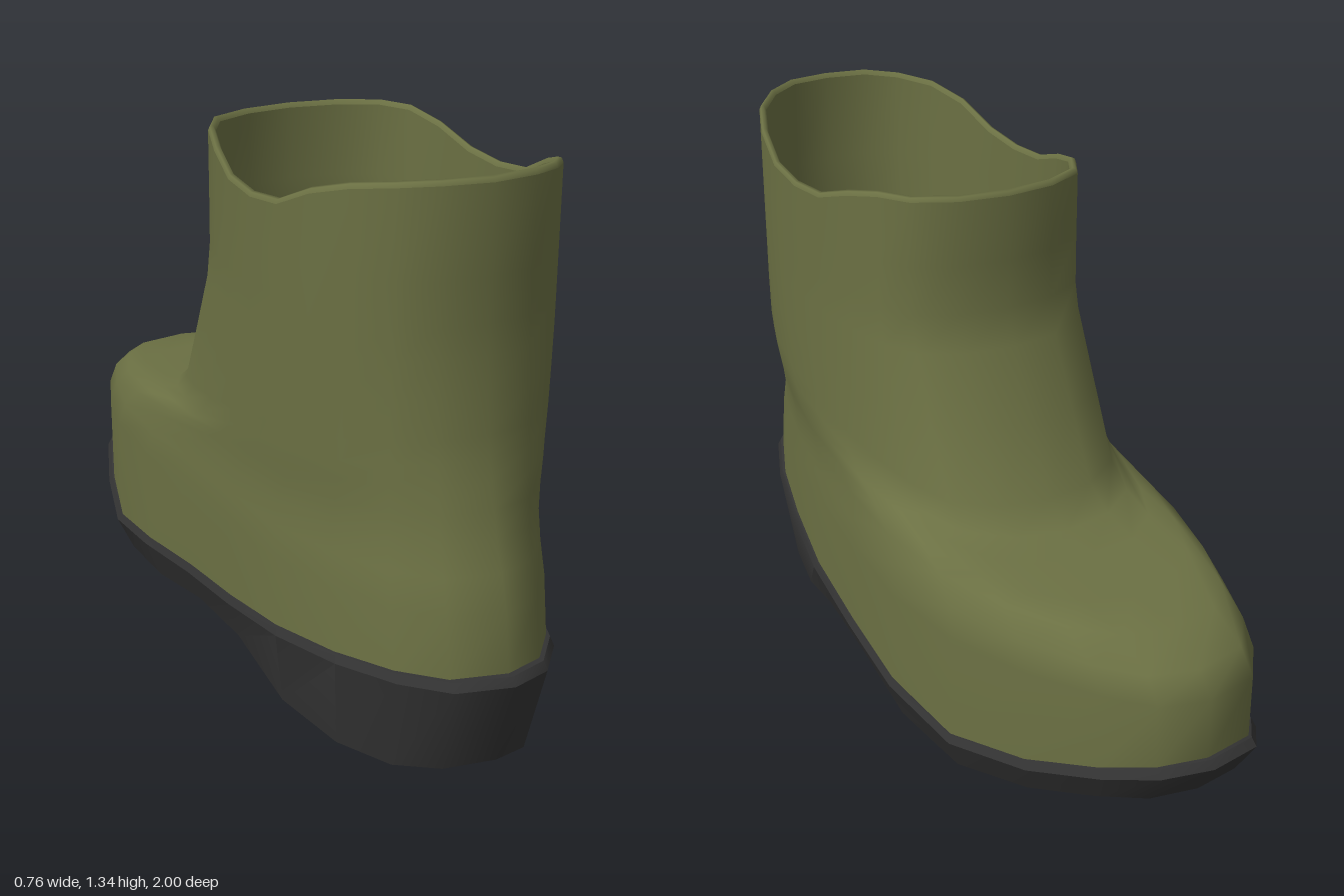
import * as THREE from 'three';
import { toCreasedNormals } from 'three/addons/utils/BufferGeometryUtils.js';

// Every table holds 13 samples from toe (-z) to heel (+z) at equal angle steps.
const HALF = 12, N = 24;
const FOOT_RIGHT = [-0.05, 0.07, 0.16, 0.26, 0.345, 0.378, 0.362, 0.338, 0.29, 0.235, 0.17, 0.09, -0.01];
const FOOT_LEFT = [-0.05, -0.19, -0.265, -0.32, -0.37, -0.378, -0.362, -0.36, -0.345, -0.295, -0.225, -0.14, -0.01];
const SHAFT = [0, 0.125, 0.225, 0.27, 0.298, 0.315, 0.319, 0.315, 0.295, 0.255, 0.19, 0.11, 0];
const SOLE_TOP = [0.212, 0.205, 0.175, 0.135, 0.11, 0.142, 0.172, 0.203, 0.232, 0.252, 0.266, 0.273, 0.275];
const SOLE_BOTTOM = [0.115, 0.105, 0.08, 0.04, 0.01, 0.03, 0.068, 0.08, 0.018, 0, 0.008, 0.03, 0.04];
const RIM = [1.29, 1.29, 1.29, 1.288, 1.265, 1.228, 1.22, 1.235, 1.285, 1.315, 1.328, 1.335, 1.335];

// One closed ring: blend 0 = foot outline, 1 = shaft outline; height(k, s) gives y.
function ring(zToe, zHeel, blend, scale, height) {
  const points = [];
  for (let i = 0; i < N; i++) {
    const k = i <= HALF ? i : N - i;
    const s = -Math.cos((k / HALF) * Math.PI);
    const foot = i <= HALF ? FOOT_RIGHT[k] : FOOT_LEFT[k];
    const shaft = (i <= HALF ? SHAFT[k] : -SHAFT[k]) - 0.007;
    const x = THREE.MathUtils.lerp(foot, shaft, blend) * scale;
    const z = (zToe + zHeel) / 2 + (s * (zHeel - zToe)) / 2;
    points.push(new THREE.Vector3(x, height(k, s), z));
  }
  return points;
}

// Skins rings in order, with optional caps across the first and last ring.
function loft(rings, capFirst = false, capLast = false) {
  const index = [];
  for (let r = 0; r < rings.length - 1; r++) {
    for (let i = 0; i < N; i++) {
      const a = r * N + i, b = r * N + ((i + 1) % N);
      index.push(a, a + N, b, b, a + N, b + N);
    }
  }
  const cap = (start, up) => {
    const tri = (a, b, c) => {
      if (a !== b && b !== c && a !== c) index.push(start + a, start + (up ? b : c), start + (up ? c : b));
    };
    for (let i = 0; i < HALF; i++) {
      const left = (N - i) % N, nextLeft = N - i - 1;
      tri(left, nextLeft, i);
      tri(i, nextLeft, i + 1);
    }
  };
  if (capFirst) cap(0, false);
  if (capLast) cap((rings.length - 1) * N, true);
  const geometry = new THREE.BufferGeometry().setFromPoints(rings.flat());
  geometry.setIndex(index);
  geometry.computeVertexNormals();
  return geometry;
}

// Upper sections: zToe, yToe, zHeel, yHeel, blend from foot to shaft, width scale
const SECTIONS = [
  [-0.975, 0.36, 0.95, 0.41, 0, 0.97],
  [-0.935, 0.42, 0.925, 0.49, 0.1, 0.955],
  [-0.84, 0.475, 0.9, 0.555, 0.3, 0.96],
  [-0.7, 0.492, 0.885, 0.62, 0.5, 0.97],
  [-0.53, 0.505, 0.87, 0.68, 0.7, 0.99],
  [-0.43, 0.53, 0.86, 0.73, 0.85, 1],
  [-0.355, 0.58, 0.852, 0.78, 0.95, 1.01],
  [-0.27, 0.74, 0.843, 0.87, 1, 1.01],
  [-0.185, 0.91, 0.838, 0.95, 1, 1],
  [-0.162, 1.0, 0.836, 1.02, 1, 1],
  [-0.16, 1.12, 0.838, 1.12, 1, 1],
];

function section([zToe, yToe, zHeel, yHeel, blend, scale], inset) {
  return ring(zToe + inset, zHeel - inset, blend, scale - inset * 3,
    (k, s) => THREE.MathUtils.lerp(yToe, yHeel, (s + 1) / 2) - inset);
}

function rimRing(inset, drop) {
  return ring(-0.16 + inset, 0.842 - inset, 1, 1 - inset * 3, (k) => RIM[k] - drop);
}

export function createModel() {
  const boot = new THREE.Group();
  boot.name = 'boot';
  const rubber = new THREE.MeshStandardMaterial({ color: 0x6b7043, side: THREE.DoubleSide });
  const soleMaterial = new THREE.MeshStandardMaterial({ color: 0x333333 });
  const add = (name, geometry, material) => {
    const mesh = new THREE.Mesh(geometry, material);
    mesh.name = name;
    boot.add(mesh);
  };

  // Sole with raised heel, flared welt and a top that forms the insole
  const sole = loft([
    ring(-0.95, 0.93, 0, 0.9, (k) => SOLE_BOTTOM[k]),
    ring(-1, 1, 0, 1, (k) => SOLE_TOP[k] - 0.018),
    ring(-0.985, 0.985, 0, 0.98, (k) => SOLE_TOP[k]),
    ring(-0.96, 0.96, 0, 0.95, (k) => SOLE_TOP[k]),
  ], true, true);
  add('sole', toCreasedNormals(sole, 0.6), soleMaterial);

  // Outer wall of the foot and shaft
  const outer = [
    ring(-0.975, 0.97, 0, 0.97, (k) => SOLE_TOP[k] - 0.005),
    ...SECTIONS.map((s) => section(s, 0)),
    rimRing(0, 0.012),
  ];
  add('upper', loft(outer), rubber);

  // Rounded lip around the opening
  add('rim', loft([rimRing(0, 0.012), rimRing(0.004, 0.002), rimRing(0.012, 0), rimRing(0.018, 0.012)]), rubber);

  // Inner lining, from the lip down to the insole
  const inner = [
    rimRing(0.018, 0.012),
    ...SECTIONS.map((s) => section(s, 0.018)).reverse(),
    ring(-0.955, 0.95, 0, 0.93, (k) => SOLE_TOP[k] - 0.005),
  ];
  add('lining', loft(inner), rubber);
  return boot;
}
